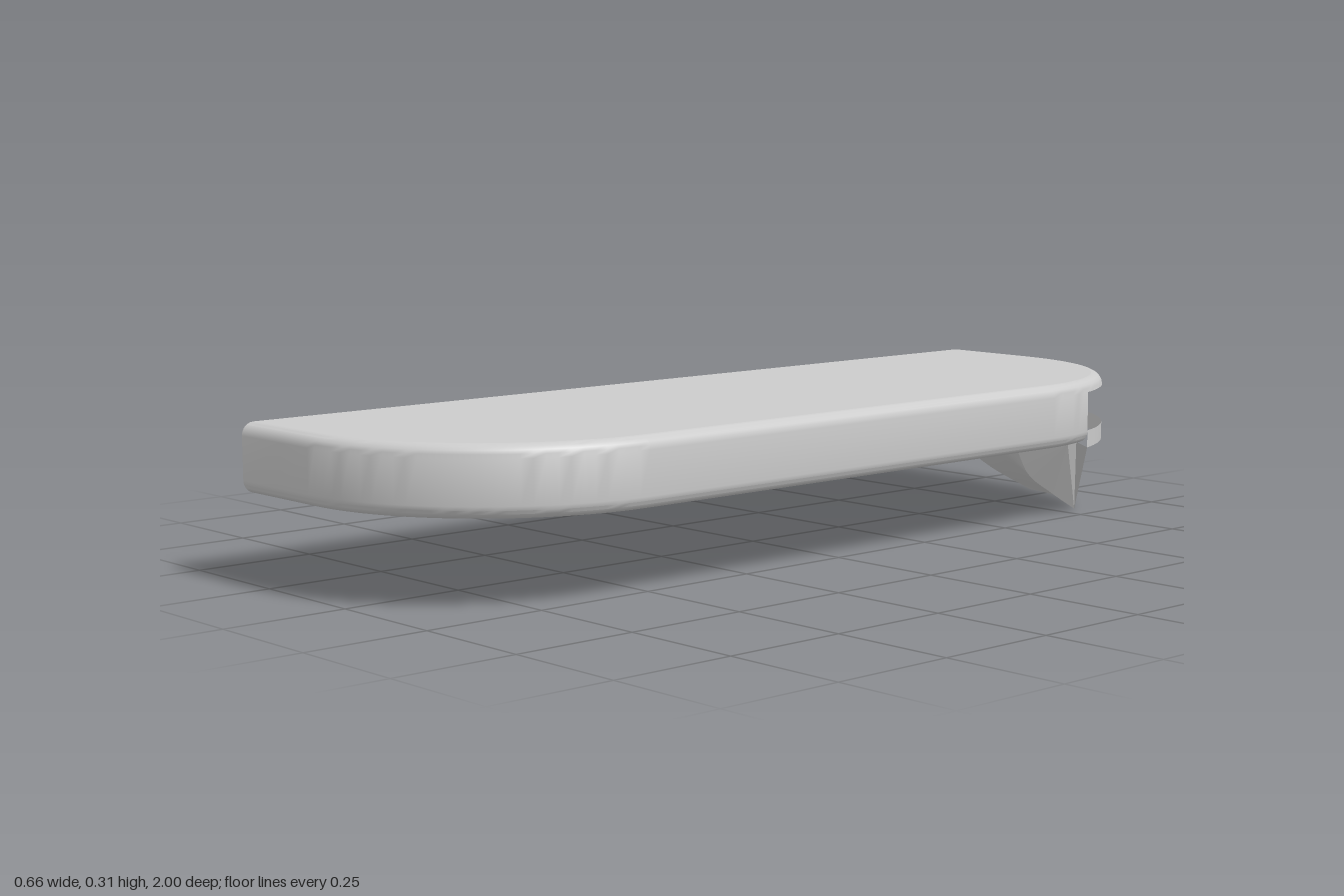
import * as THREE from 'three';
import { toCreasedNormals } from 'three/addons/utils/BufferGeometryUtils.js';

const material = new THREE.MeshStandardMaterial({ color: 0xcccccc, side: THREE.DoubleSide });
const V = (x, y, z) => new THREE.Vector3(x, y, z);
const FLAT_X = -0.33, SLOT_X = -0.2, CX = -0.11, CZ = 0.56, R = 0.44;
const BASE = 0.17, TOP = 0.305, BEVEL = 0.025, STEPS = 30;

// Half-rounded outline, inset by d, from the front of the flat side to its back
function outline(d, y) {
  const pts = [V(FLAT_X, y, CZ + R - d), V(SLOT_X, y, CZ + R - d)];
  for (const end of [1, -1]) {
    for (let i = 0; i <= STEPS; i++) {
      const a = (Math.PI / 2) * (end > 0 ? 1 - i / STEPS : i / STEPS);
      pts.push(V(CX + (R - d) * Math.cos(a), y, end * (CZ + (R - d) * Math.sin(a))));
    }
  }
  pts.push(V(SLOT_X, y, -CZ - R + d), V(FLAT_X, y, -CZ - R + d));
  return pts;
}
const LAST = outline(0, 0).length - 1;
const BACK_ARC = 2 + STEPS + 1;      // first point of the back corner
const SLOT_START = BACK_ARC + 6;     // 18 degrees into the back corner
const SLOT_END = LAST - 1;
const inSlot = (j) => j >= SLOT_START && j < SLOT_END;

// Surface through rows of points, leaving out the cells that skip() names
function surface(rows, skip = () => false) {
  const pts = [];
  for (let i = 0; i < rows.length - 1; i++) {
    for (let j = 0; j < rows[i].length - 1; j++) {
      if (skip(i, j)) continue;
      const a = rows[i][j], b = rows[i][j + 1], c = rows[i + 1][j + 1], d = rows[i + 1][j];
      pts.push(a, b, c, a, c, d);
    }
  }
  return toCreasedNormals(new THREE.BufferGeometry().setFromPoints(pts), 0.6);
}

function fan(apex, pts) {
  const tris = [];
  for (let i = 0; i < pts.length - 1; i++) tris.push(apex, pts[i], pts[i + 1]);
  const g = new THREE.BufferGeometry().setFromPoints(tris);
  g.computeVertexNormals();
  return g;
}

// Horizontal sheet bounded by points
function sheet(pts, y) {
  const shape = new THREE.Shape(pts.map((p) => new THREE.Vector2(p.x, -p.z)));
  return new THREE.ShapeGeometry(shape).rotateX(-Math.PI / 2).translate(0, y, 0);
}

export function createModel() {
  const group = new THREE.Group();
  const add = (name, geometry) => {
    const mesh = new THREE.Mesh(geometry, material);
    mesh.name = name;
    group.add(mesh);
  };

  // Rounded edge profile as [inset, height], from bottom to top
  const profile = [];
  for (let i = 0; i <= 5; i++) {
    const a = (i / 5) * Math.PI / 2;
    profile.push([BEVEL * (1 - Math.sin(a)), BASE + BEVEL * (1 - Math.cos(a))]);
  }
  const slotRow = profile.length - 1;
  for (let i = 0; i <= 5; i++) {
    const a = (i / 5) * Math.PI / 2;
    profile.push([BEVEL * (1 - Math.cos(a)), TOP - BEVEL * (1 - Math.sin(a))]);
  }

  // Slab shell with a slot around its back corner
  add('slabRim', surface(profile.map(([d, y]) => outline(d, y)), (i, j) => i <= slotRow && inSlot(j)));
  add('slabTop', sheet(outline(BEVEL, 0), TOP));
  const side = new THREE.Shape([
    ...profile.map(([d, y]) => new THREE.Vector2(1 - d, y)),
    ...profile.slice().reverse().map(([d, y]) => new THREE.Vector2(d - 1, y)),
  ]);
  add('slabFlatSide', new THREE.ShapeGeometry(side).rotateY(-Math.PI / 2).translate(FLAT_X, 0, 0));

  // Bar between the slot and the scoop mouth
  const bar = [0.16, 0.197].map((y) => outline(0, y).slice(SLOT_START, SLOT_END + 1));
  add('slotBar', surface(bar));

  // Scoop belly, lofted between its two end curves and bowed towards the corner
  const leftEnd = new THREE.CatmullRomCurve3([
    V(0.28, BASE, -0.5), V(0.245, 0.105, -0.58), V(0.217, 0.05, -0.69), V(0.19, 0, -0.8),
  ]).getPoints(16);
  const rightEnd = new THREE.CatmullRomCurve3([
    V(FLAT_X, BASE, -0.83), V(-0.195, 0.145, -0.785), V(-0.11, 0.06, -0.85), V(-0.06, 0, -0.94),
  ]).getPoints(16);
  const belly = leftEnd.map((p, i) => {
    const row = [];
    for (let k = 0; k <= 20; k++) {
      const u = k / 20, bow = 0.028 * 4 * u * (1 - u);
      row.push(p.clone().lerp(rightEnd[i], u).add(V(0.5 * bow, 0, -0.87 * bow)));
    }
    return row;
  });
  add('scoopBelly', surface(belly));

  // Slab underside, open above the scoop
  const rim = outline(BEVEL, BASE);
  const leftCorner = rim[BACK_ARC + 4], rightCorner = rim[LAST];
  add('slabUnderside', sheet([...rim.slice(0, BACK_ARC + 5), ...belly[0]], BASE));

  // End walls of the scoop and the narrow frames beside its mouth
  add('scoopLeftWall', fan(leftCorner, leftEnd));
  add('scoopRightWall', fan(rightCorner, rightEnd));
  add('scoopLeftFrame', fan(leftEnd[16], [leftCorner, rim[SLOT_START], bar[0][0]]));
  add('scoopRightFrame', fan(rightEnd[16], [rightCorner, rim[SLOT_END], bar[0][bar[0].length - 1]]));

  return group;
}
